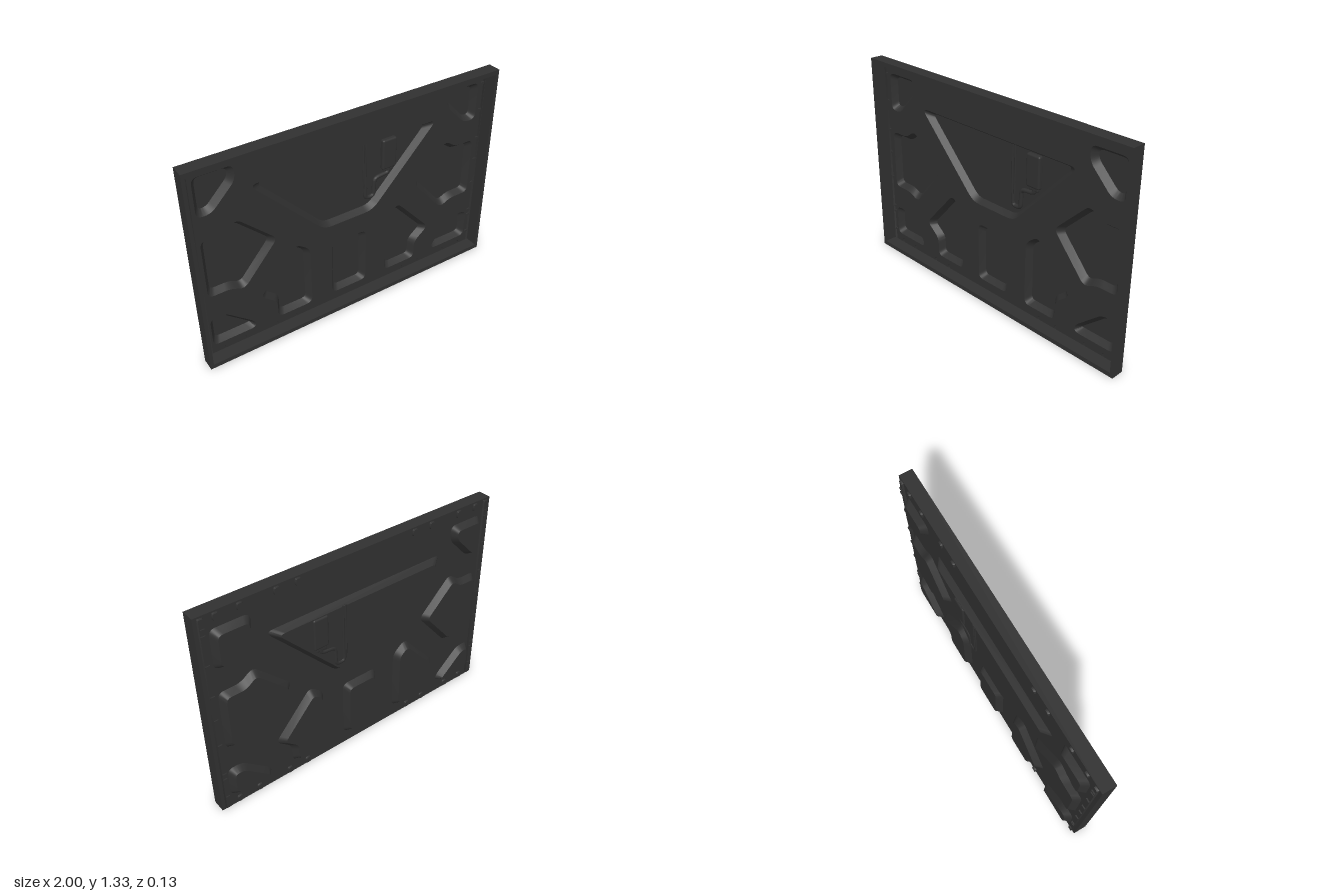
import * as THREE from 'three';
import { toCreasedNormals } from 'three/addons/utils/BufferGeometryUtils.js';
import { RoundedBoxGeometry } from 'three/addons/geometries/RoundedBoxGeometry.js';

const H = 1.333, SHEET_Z = -0.018, FLOOR_Z = -0.056;
const mat = new THREE.MeshStandardMaterial({ color: 0x303030, side: THREE.DoubleSide });

const vecs = (pts) => pts.map(([x, y]) => new THREE.Vector2(x, y));
const rect = (x0, y0, x1, y1) => vecs([[x0, y0], [x1, y0], [x1, y1], [x0, y1]]);
const mirror = (pts) => pts.map((p) => new THREE.Vector2(-p.x, p.y)).reverse();

// Move every edge of a counter-clockwise polygon inward by d
function inset(pts, d) {
  const n = pts.length;
  const normal = (a, b) => new THREE.Vector2(a.y - b.y, b.x - a.x).normalize();
  return pts.map((p, i) => {
    const n1 = normal(pts[(i + n - 1) % n], p), n2 = normal(p, pts[(i + 1) % n]);
    return p.clone().addScaledVector(n1.clone().add(n2), d / (1 + n1.dot(n2)));
  });
}

// Round the corners; the point count depends only on the corner count
function rounded(pts, r, steps = 6) {
  const out = [], n = pts.length;
  pts.forEach((p, i) => {
    const toward = (q) => p.clone().lerp(q, Math.min(0.45, r / p.distanceTo(q)));
    const curve = new THREE.QuadraticBezierCurve(toward(pts[(i + n - 1) % n]), p, toward(pts[(i + 1) % n]));
    out.push(...curve.getPoints(steps));
  });
  return out;
}

// Sloping wall between two matching outlines
function wallGeometry(outer, inner, z0, z1) {
  const pos = [], idx = [], n = outer.length;
  for (let i = 0; i < n; i++) {
    pos.push(outer[i].x, outer[i].y, z0, inner[i].x, inner[i].y, z1);
    const a = 2 * i, b = 2 * ((i + 1) % n);
    idx.push(a, b, a + 1, b, b + 1, a + 1);
  }
  const g = new THREE.BufferGeometry();
  g.setAttribute('position', new THREE.Float32BufferAttribute(pos, 3));
  g.setIndex(idx);
  return toCreasedNormals(g, 0.6);
}

export function createModel() {
  const root = new THREE.Group();
  const add = (name, geo, parent = root) => {
    const m = new THREE.Mesh(geo, mat);
    m.name = name;
    parent.add(m);
    return m;
  };

  // Outer frame
  const frameShape = new THREE.Shape(rect(-1, 0, 1, H));
  frameShape.holes.push(new THREE.Path(rect(-0.98, 0.028, 0.98, H - 0.028)));
  const frame = new THREE.ExtrudeGeometry(frameShape, { depth: 0.082, bevelEnabled: false });
  frame.translate(0, 0, -0.017);
  add('outerFrame', frame);

  // Panel sheet, pierced by every pocket
  const sheet = new THREE.Shape(rect(-1, 0, 1, H));
  function pocket(name, pts, z = FLOOR_Z, slope = 0.027, r = 0.04) {
    const group = new THREE.Group();
    group.name = name;
    root.add(group);
    const outer = rounded(pts, r);
    const inner = rounded(inset(pts, slope), r * 0.8);
    sheet.holes.push(new THREE.Path(outer));
    add(name + 'Wall', wallGeometry(outer, inner, SHEET_Z, z), group);
    add(name + 'Floor', new THREE.ShapeGeometry(new THREE.Shape(inner)).translate(0, 0, z), group);
  }

  // Large pockets on the centre line
  pocket('mainPocket', vecs([[-0.17, 0.605], [0.17, 0.605], [0.62, 1.08], [-0.62, 1.08]]), FLOOR_Z, 0.025, 0.055);
  pocket('lowerCentrePocket', rect(-0.123, 0.085, 0.123, 0.47));

  // Mirrored pockets, listed counter-clockwise for the -x side
  const sidePockets = {
    upperCornerPocket: [[-0.925, 0.993], [-0.84, 0.993], [-0.692, 1.145], [-0.692, 1.237], [-0.925, 1.237]],
    sidePocket: [[-0.925, 0.45], [-0.785, 0.45], [-0.705, 0.41], [-0.478, 0.675], [-0.71, 0.9], [-0.79, 0.84], [-0.925, 0.84]],
    lowerCornerPocket: [[-0.935, 0.085], [-0.66, 0.085], [-0.66, 0.13], [-0.84, 0.287], [-0.935, 0.287]],
    lowerDiagonalPocket: [[-0.507, 0.085], [-0.27, 0.085], [-0.27, 0.5], [-0.36, 0.572], [-0.61, 0.295], [-0.507, 0.21]],
  };
  for (const [name, list] of Object.entries(sidePockets)) {
    pocket(name + 'Right', vecs(list));
    pocket(name + 'Left', mirror(vecs(list)));
  }

  // Side channels with rows of small clips
  for (const s of [-1, 1]) {
    const x0 = s * 0.9625;
    pocket('sideChannel', rect(x0 - 0.016, 0.01, x0 + 0.016, H - 0.01), -0.03, 0.003, 0.003);
    for (const y of [1.26, 1.22, 1.04, 0.84, 0.68, 0.5, 0.28, 0.24, 0.1]) {
      add('channelClip', new THREE.BoxGeometry(0.026, 0.014, 0.016)).position.set(x0, y, -0.029);
    }
  }

  // U-shaped tabs along the top and bottom edges
  for (const x of [-0.88, -0.745, -0.53, -0.4, 0.4, 0.53, 0.745, 0.88]) {
    pocket('topTab', rect(x - 0.019, H - 0.052, x + 0.019, H - 0.008), -0.029, 0.003, 0.014);
    pocket('bottomTab', rect(x - 0.019, 0.008, x + 0.019, 0.052), -0.029, 0.003, 0.014);
  }
  add('panelSheet', new THREE.ShapeGeometry(sheet).translate(0, 0, SHEET_Z));

  // Connector box in the main pocket, with its tapered neck
  const box = add('connectorBox', new RoundedBoxGeometry(0.1, 0.2, 0.035, 3, 0.012));
  box.position.set(0.295, 0.95, -0.0475);
  const neck = add('connectorNeck', new RoundedBoxGeometry(0.07, 0.04, 0.022, 2, 0.008));
  neck.position.set(0.295, 0.85, -0.05);

  // Cable that drops from the connector and turns up beside the rod
  const path = new THREE.CurvePath();
  const route = rounded(vecs([[0.3, 0.86], [0.3, 0.815], [0.2, 0.805], [0.195, 0.685], [0.135, 0.685], [0.135, 0.76]]), 0.025, 4);
  // drop the rounded ends of the closed outline so the route stays open
  const open = [new THREE.Vector2(0.3, 0.86), ...route.slice(5, -5), new THREE.Vector2(0.135, 0.76)];
  const pts = open.map((p) => new THREE.Vector3(p.x, p.y, -0.05));
  for (let i = 1; i < pts.length; i++) path.add(new THREE.LineCurve3(pts[i - 1], pts[i]));
  add('cable', new THREE.TubeGeometry(path, 80, 0.013, 8, false));

  // Twin thin rods
  for (const x of [0.123, 0.142]) {
    const rod = add('thinRod', new THREE.CylinderGeometry(0.006, 0.006, 0.33, 8));
    rod.position.set(x, 0.895, -0.055);
  }
  return root;
}
